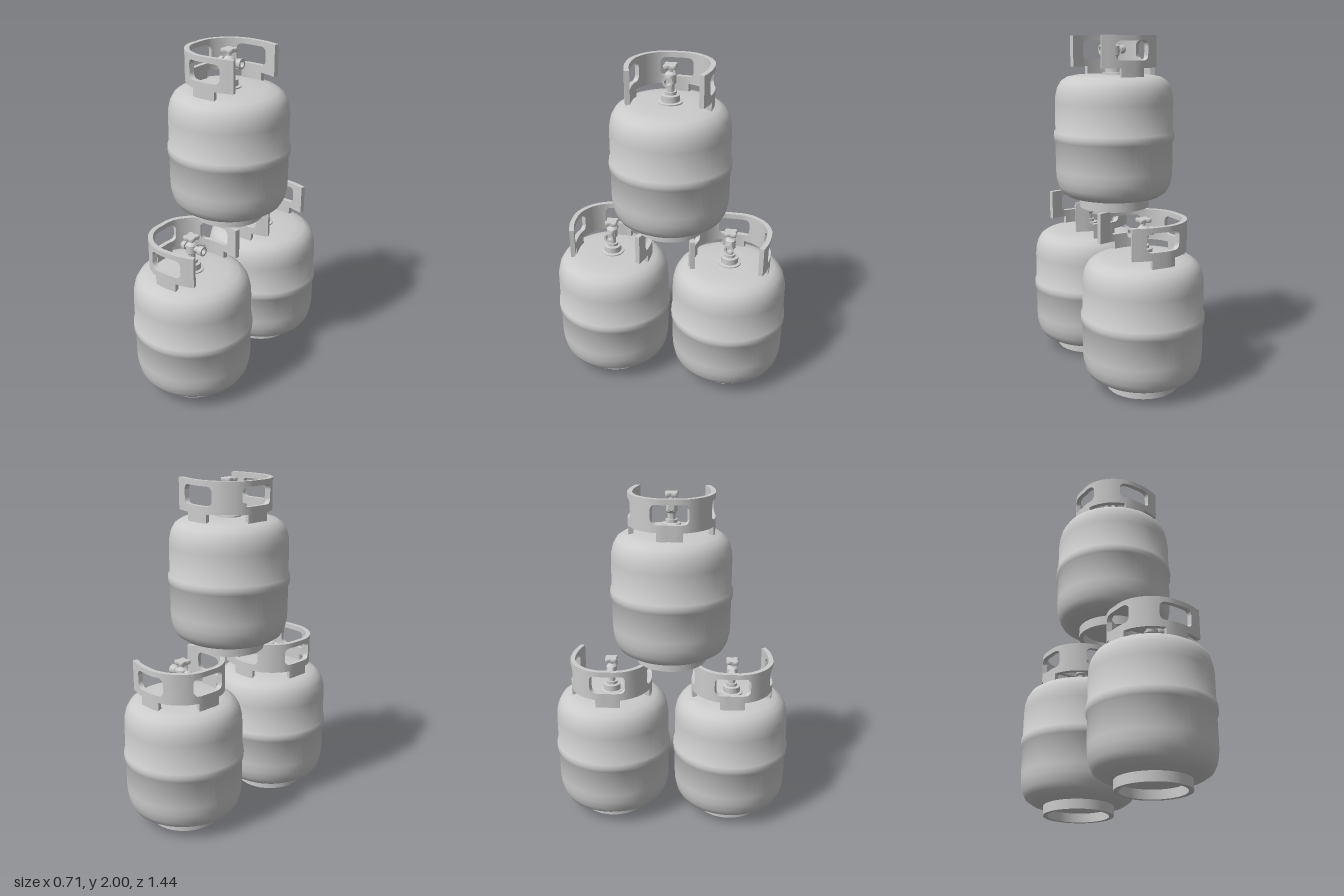
import * as THREE from 'three';
import { toCreasedNormals, mergeGeometries } from 'three/addons/utils/BufferGeometryUtils.js';

const material = new THREE.MeshStandardMaterial({ color: 0xcccccc });

function addMesh(parent, name, geometry) {
  const mesh = new THREE.Mesh(geometry, material);
  mesh.name = name;
  parent.add(mesh);
  return mesh;
}

function lathe(profile, segments, crease = 0.6) {
  const geometry = new THREE.LatheGeometry(profile.map(([r, y]) => new THREE.Vector2(r, y)), segments);
  return toCreasedNormals(geometry, crease);
}

// Plan of the C-shaped collar, open towards +x
const half = [[0.18, 0.2], [0.1, 0.222], [0.02, 0.23], [-0.05, 0.226], [-0.135, 0.188], [-0.197, 0.12], [-0.219, 0.06]];
const plan = [...half, [-0.221, 0], ...half.slice().reverse().map(([x, z]) => [x, -z])];
const collarPath = new THREE.CatmullRomCurve3(plan.map(([x, z]) => new THREE.Vector3(x, 0, z)));
const collarLength = collarPath.getLength();
const thickness = 0.028;

// A closed strip of plate following the collar path, between heights low(s) and high(s)
function band(stations, low, high) {
  const positions = [], index = [];
  stations.forEach((s, i) => {
    const u = THREE.MathUtils.clamp(s / collarLength, 0, 1);
    const p = collarPath.getPointAt(u), t = collarPath.getTangentAt(u);
    const dx = t.z * thickness / 2, dz = -t.x * thickness / 2;
    const lo = low(s), hi = high(s);
    positions.push(p.x + dx, lo, p.z + dz, p.x + dx, hi, p.z + dz);
    positions.push(p.x - dx, hi, p.z - dz, p.x - dx, lo, p.z - dz);
    if (i === 0) return;
    for (let k = 0; k < 4; k++) {
      const a = (i - 1) * 4 + k, b = (i - 1) * 4 + (k + 1) % 4;
      index.push(a, b, b + 4, a, b + 4, a + 4);
    }
  });
  const e = (stations.length - 1) * 4;
  index.push(0, 3, 2, 0, 2, 1, e, e + 1, e + 2, e, e + 2, e + 3);
  const geometry = new THREE.BufferGeometry();
  geometry.setAttribute('position', new THREE.Float32BufferAttribute(positions, 3));
  geometry.setIndex(index);
  return toCreasedNormals(geometry, 0.6);
}

function range(a, b, n) {
  return Array.from({ length: n + 1 }, (_, i) => a + (b - a) * i / n);
}

function collarGeometry() {
  const bottom = 0.82, top = 1, halfWidth = 0.102, corner = 0.03;
  const centres = [0.18, collarLength / 2, collarLength - 0.18];
  const parts = [];
  let start = 0;
  for (const c of centres) {
    // Solid plate before the window
    parts.push(band(range(start, c - halfWidth, 12), () => bottom, () => top));
    // Rails below and above a window with rounded corners
    const inset = s => {
      const d = Math.max(0, halfWidth - Math.abs(s - c));
      return d >= corner ? 0 : corner - Math.sqrt(corner ** 2 - (corner - d) ** 2);
    };
    const stations = range(0, 1, 32).map(t => c - halfWidth * Math.cos(Math.PI * t));
    parts.push(band(stations, () => bottom, s => 0.862 + inset(s)));
    parts.push(band(stations, s => 0.97 - inset(s), () => top));
    // Foot tab welded to the shoulder
    parts.push(band(range(c - 0.07, c + 0.07, 8), () => 0.76, () => bottom));
    start = c + halfWidth;
  }
  parts.push(band(range(start, collarLength, 12), () => bottom, () => top));
  return mergeGeometries(parts);
}

function createValve() {
  const valve = new THREE.Group();
  valve.name = 'valve';
  // Boss and stem
  addMesh(valve, 'valveBoss', lathe([[0, 0.765], [0.07, 0.765], [0.07, 0.787], [0.052, 0.79],
    [0.052, 0.825], [0.034, 0.828], [0.034, 0.845], [0, 0.845]], 32));
  addMesh(valve, 'valveStem', lathe([[0, 0.84], [0.022, 0.84], [0.022, 0.88], [0.032, 0.89],
    [0.032, 0.94], [0.02, 0.952], [0.013, 0.955], [0.013, 0.98], [0, 0.98]], 20));
  // Threaded outlet with an open bore, and the relief plug opposite
  const outlet = addMesh(valve, 'valveOutlet', lathe([[0, 0], [0.017, 0], [0.017, 0.045], [0.025, 0.055],
    [0.029, 0.088], [0.018, 0.088], [0.015, 0.06], [0, 0.06]], 20));
  outlet.rotation.z = -Math.PI / 2;
  outlet.position.y = 0.92;
  const plug = addMesh(valve, 'reliefPlug', lathe([[0, 0], [0.015, 0], [0.015, 0.035], [0.024, 0.037],
    [0.024, 0.06], [0.018, 0.067], [0, 0.067]], 16));
  plug.rotation.z = Math.PI / 2;
  plug.position.y = 0.92;
  // Four-lobed hand knob
  const outline = range(0, 1, 48).slice(0, -1).map(t => {
    const a = t * Math.PI * 2, r = 0.036 - 0.008 * Math.cos(4 * a);
    return new THREE.Vector2(r * Math.cos(a), r * Math.sin(a));
  });
  const knob = new THREE.ExtrudeGeometry(new THREE.Shape(outline), {
    depth: 0.016, bevelEnabled: true, bevelSize: 0.002, bevelThickness: 0.003, bevelSegments: 1,
  });
  const handKnob = addMesh(valve, 'handKnob', toCreasedNormals(knob, 0.6));
  handKnob.rotation.x = -Math.PI / 2;
  handKnob.position.y = 0.977;
  return valve;
}

function createTank() {
  const tank = new THREE.Group();
  // Pressure vessel with a raised weld band round the middle
  addMesh(tank, 'vessel', lathe([[0, 0.052], [0.17, 0.052], [0.22, 0.057], [0.275, 0.07], [0.312, 0.094],
    [0.332, 0.13], [0.343, 0.18], [0.346, 0.23], [0.346, 0.39], [0.354, 0.4], [0.356, 0.425], [0.354, 0.45],
    [0.346, 0.46], [0.346, 0.62], [0.343, 0.66], [0.332, 0.705], [0.31, 0.742], [0.275, 0.765],
    [0.22, 0.776], [0.12, 0.78], [0, 0.781]], 64, 0.9));
  // Hollow foot ring
  addMesh(tank, 'footRing', lathe([[0.18, 0], [0.207, 0], [0.207, 0.065], [0.18, 0.065], [0.18, 0]], 64));
  addMesh(tank, 'collar', collarGeometry());
  tank.add(createValve());
  return tank;
}

export function createModel() {
  const model = new THREE.Group();
  model.name = 'stackedGasTanks';
  const places = [['frontTank', 0, 0.366], ['backTank', 0, -0.366], ['topTank', 1, 0]];
  const tank = createTank();
  for (const [name, y, z] of places) {
    const copy = tank.clone();
    copy.name = name;
    copy.position.set(0, y, z);
    model.add(copy);
  }
  return model;
}
